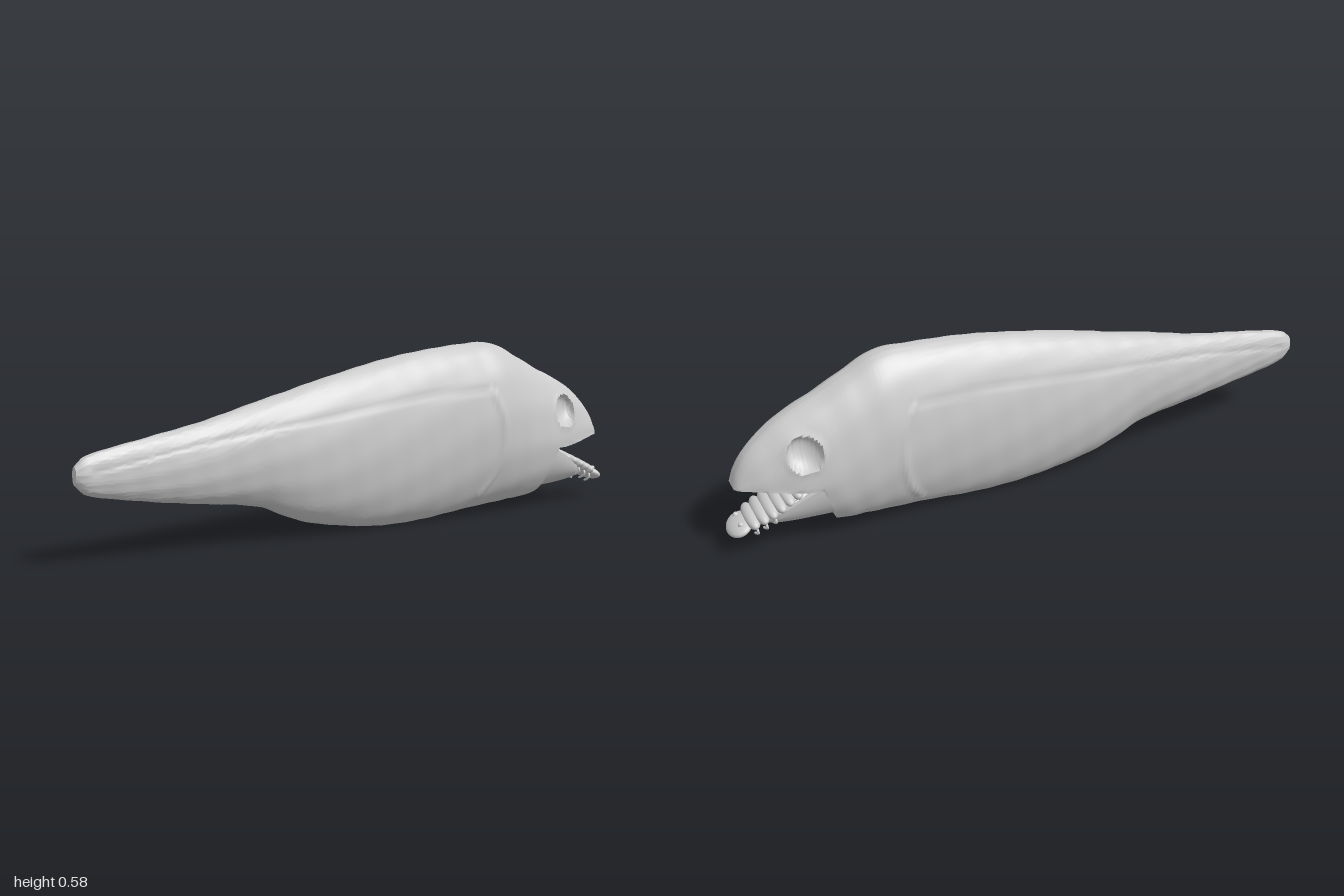
import * as THREE from 'three';
import { toCreasedNormals } from 'three/addons/utils/BufferGeometryUtils.js';

const material = new THREE.MeshStandardMaterial({ color: 0xcccccc, side: THREE.DoubleSide });
const { smoothstep, clamp } = THREE.MathUtils;

// Smooth lookup in rows of [x, a, b, c...]
function sample(rows, x) {
  let i = 0;
  while (i < rows.length - 2 && x > rows[i + 1][0]) i++;
  const p = rows[i], q = rows[i + 1];
  const o = rows[Math.max(i - 1, 0)], r = rows[Math.min(i + 2, rows.length - 1)];
  const h = q[0] - p[0], t = clamp((x - p[0]) / h, 0, 1);
  return p.slice(1).map((v, k) => {
    const c = k + 1;
    const m0 = (q[c] - o[c]) / (q[0] - o[0]) * h, m1 = (r[c] - p[c]) / (r[0] - p[0]) * h;
    const t2 = t * t, t3 = t2 * t;
    return (2 * t3 - 3 * t2 + 1) * v + (t3 - 2 * t2 + t) * m0 + (3 * t2 - 2 * t3) * q[c] + (t3 - t2) * m1;
  });
}

// Skin over closed rings of [x, y, z] with fan caps at both ends
function loft(rings, crease) {
  const n = rings[0].length, pos = rings.flat(2), index = [];
  for (let i = 0; i < rings.length - 1; i++) {
    for (let j = 0; j < n; j++) {
      const a = i * n + j, b = i * n + (j + 1) % n;
      index.push(a, b, a + n, b, b + n, a + n);
    }
  }
  [0, rings.length - 1].forEach((r, end) => {
    const c = pos.length / 3;
    for (let k = 0; k < 3; k++) pos.push(rings[r].reduce((s, p) => s + p[k], 0) / n);
    for (let j = 0; j < n; j++) {
      const a = r * n + j, b = r * n + (j + 1) % n;
      index.push(c, ...(end ? [a, b] : [b, a]));
    }
  });
  const g = new THREE.BufferGeometry();
  g.setAttribute('position', new THREE.Float32BufferAttribute(pos, 3));
  g.setIndex(index);
  return toCreasedNormals(g, crease);
}

function add(parent, name, geometry) {
  const mesh = new THREE.Mesh(geometry, material);
  mesh.name = name;
  parent.add(mesh);
  return mesh;
}

// Fish outline: x, back height, belly height, half width
const OUTLINE = [
  [-1, 0.295, 0.24, 0.014], [-0.97, 0.32, 0.211, 0.026], [-0.8, 0.355, 0.175, 0.04],
  [-0.6, 0.39, 0.145, 0.06], [-0.4, 0.44, 0.113, 0.081], [-0.3, 0.462, 0.07, 0.092],
  [-0.2, 0.487, 0.038, 0.103], [0, 0.53, 0.007, 0.115], [0.2, 0.562, 0.004, 0.121],
  [0.4, 0.578, 0.022, 0.127], [0.5, 0.576, 0.029, 0.133], [0.6, 0.53, 0.034, 0.131],
  [0.7, 0.48, 0.038, 0.122], [0.8, 0.435, 0.06, 0.103], [0.88, 0.382, 0.09, 0.08],
  [0.93, 0.332, 0.13, 0.059], [0.96, 0.28, 0.18, 0.042], [0.972, 0.245, 0.22, 0.026],
];
const LATERAL = [[-0.95, 0.275], [-0.6, 0.335], [-0.25, 0.378], [0, 0.41], [0.2, 0.428], [0.45, 0.433]];
const GILL = [[0.08, 0.4], [0.15, 0.445], [0.25, 0.468], [0.35, 0.46], [0.44, 0.42]]; // y, x
const MOUTH_X = 0.725;
const ridge = (d, width) => Math.exp(-((d / width) ** 2));

function bodyRing(x, inHead) {
  const N = 112, [top, bottom, half] = sample(OUTLINE, x);
  const mid = (top + bottom) / 2 - 0.02 * smoothstep(x, 0.3, 0.6) * (1 - smoothstep(x, 0.85, 0.96));
  const lip = 0.212 + 0.022 * smoothstep(x, 0.74, 0.95);
  const lipHalf = half * Math.sqrt(Math.max(0.02, 1 - ((mid - lip) / (mid - bottom)) ** 2));
  const ring = [];
  for (let j = 0; j < N; j++) {
    const a = j / N * Math.PI * 2, c = Math.cos(a), s = Math.sin(a);
    let y = mid + c * (c > 0 ? top - mid : mid - bottom), z = half * s, px = x;
    if (inHead && y < lip) {
      // Arched roof of the mouth
      y = lip + 0.05 * Math.max(0, 1 - (z / lipHalf) ** 2) * clamp((top - lip) / 0.2 - 0.1, 0, 1);
    } else {
      // Slanted gill cover edge behind the jaw
      px -= 0.33 * Math.max(0, 0.22 - y) * smoothstep(x, 0.5, MOUTH_X);
      // Faint lumps, lateral line and gill ridge
      let push = 0.0012 * Math.sin(x * 41 + a * 5) * Math.sin(x * 23 - a * 7);
      if (x > -0.95 && x < 0.44) push -= 0.0035 * ridge(y - sample(LATERAL, x)[0], 0.009);
      if (y > 0.07 && y < 0.44) push += 0.005 * ridge(px - sample(GILL, y)[0], 0.013);
      z += push * s;
      y += push * c;
      // Hollow eye socket with a soft rim
      const d = Math.hypot(px - 0.765, y - 0.335) / 0.052;
      const dent = d < 1 ? 0.036 * Math.sqrt(1 - d * d) : 0;
      z += Math.sign(z) * (0.003 * ridge(d - 1.1, 0.14) - dent);
    }
    ring.push([px, y, z]);
  }
  return ring;
}

function buildBody() {
  const rings = [];
  const run = (from, to, steps, head) => {
    for (let i = 0; i <= steps; i++) rings.push(bodyRing(from + (to - from) * i / steps, head));
  };
  run(-1, 0.378, 110, false);
  run(0.385, MOUTH_X, 56, false);
  run(MOUTH_X, 0.972, 56, true);
  return loft(rings, 0.75);
}

// Hollow lower jaw: x, half width, bottom, rim
const JAW = [
  [0.64, 0.106, 0.062, 0.23], [0.72, 0.098, 0.066, 0.208], [0.8, 0.083, 0.072, 0.165],
  [0.86, 0.062, 0.08, 0.13], [0.89, 0.042, 0.088, 0.115], [0.905, 0.015, 0.098, 0.108],
];
function buildJaw() {
  const rings = [], N = 24;
  for (let i = 0; i <= 24; i++) {
    const x = 0.64 + 0.265 * i / 24, [half, low, rim] = sample(JAW, x);
    const arc = (scale) => Array.from({ length: N + 1 }, (_, j) => {
      const a = j / N * Math.PI;
      return [x, rim - (rim - low) * scale * Math.sin(a), half * scale * Math.cos(a)];
    });
    rings.push([...arc(1), ...arc(0.82).reverse()]);
  }
  return loft(rings, 0.7);
}

// Segmented crustacean lying in the mouth, built along +x then tilted
function buildCrustacean() {
  const group = new THREE.Group();
  group.name = 'tongueCrustacean';
  const plate = (name, x, y, sx, sy, sz) => {
    const m = add(group, name, new THREE.SphereGeometry(1, 28, 16));
    m.position.set(x, y, 0);
    m.scale.set(sx, sy, sz);
  };
  const widths = [0.058, 0.067, 0.074, 0.079, 0.081, 0.078, 0.072];
  widths.forEach((w, i) => {
    const x = 0.025 + i * 0.031;
    plate('shellPlate', x, 0, 0.024, 0.023, w);
    // Hooked legs in pairs
    for (const side of [-1, 1]) {
      const curve = new THREE.CatmullRomCurve3([
        new THREE.Vector3(x, -0.008, side * w * 0.7), new THREE.Vector3(x + 0.005, -0.024, side * w * 0.85),
        new THREE.Vector3(x + 0.01, -0.036, side * w * 0.65), new THREE.Vector3(x + 0.016, -0.038, side * w * 0.45),
      ]);
      add(group, 'leg', new THREE.TubeGeometry(curve, 8, 0.004, 6));
    }
  });
  plate('underside', 0.12, -0.006, 0.125, 0.015, 0.062);
  plate('head', 0.252, -0.002, 0.043, 0.02, 0.06);
  for (const side of [-1, 1]) {
    const eye = add(group, 'crustaceanEye', new THREE.SphereGeometry(0.009, 12, 8));
    eye.position.set(0.246, 0.014, side * 0.03);
  }
  group.position.set(0.735, 0.2, 0);
  group.rotation.z = -0.44;
  return group;
}

export function createModel() {
  const model = new THREE.Group();
  model.name = 'fish';
  add(model, 'bodyAndHead', buildBody());
  add(model, 'lowerJaw', buildJaw());
  model.add(buildCrustacean());
  return model;
}
